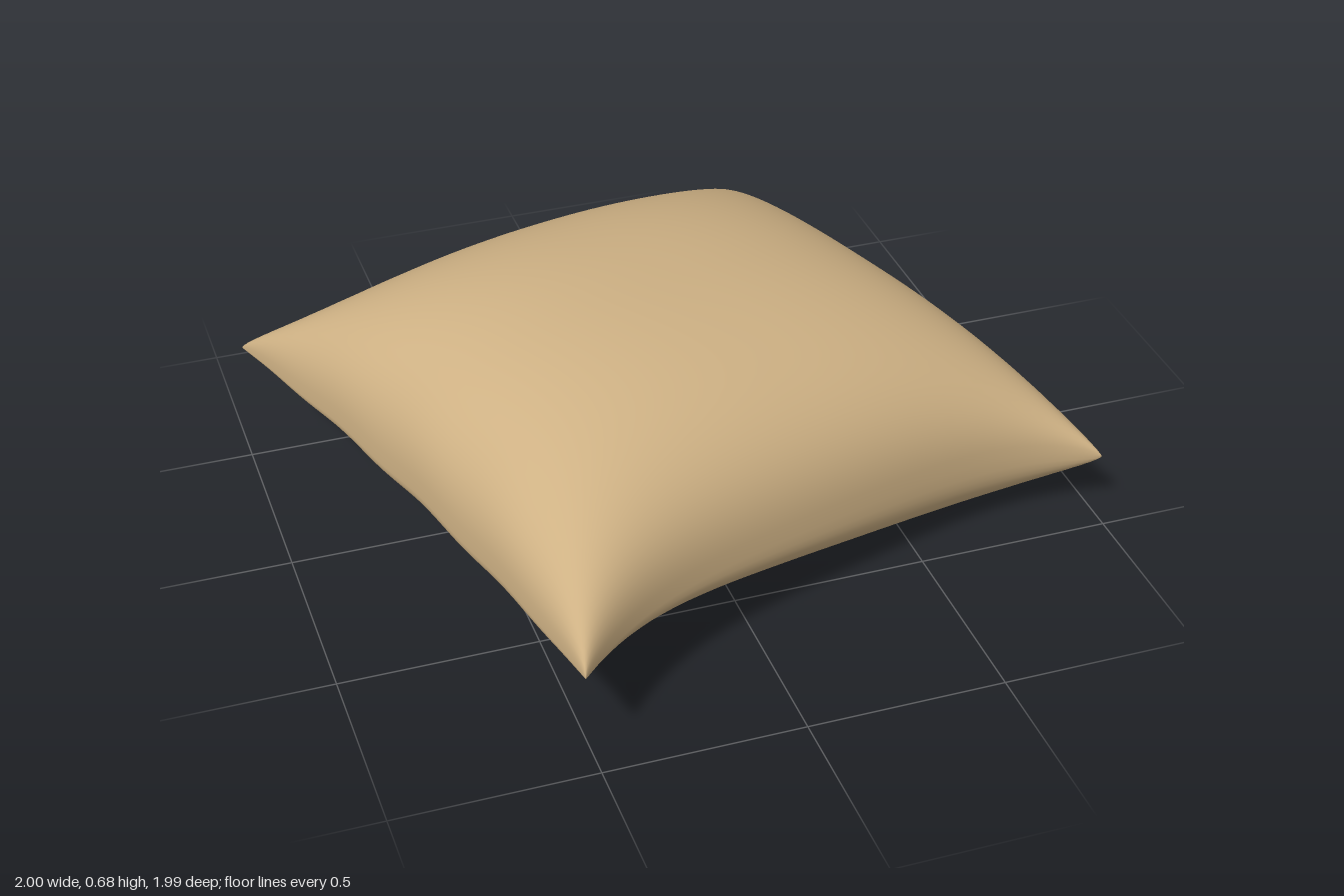
import * as THREE from 'three';
import { mergeVertices } from 'three/addons/utils/BufferGeometryUtils.js';

// seam corners: back right, back left, front left, front right
const CORNERS = [[-1, 0.35, -0.49], [0.49, 0.23, -1], [1, 0.19, 0.46], [-0.53, 0.28, 0.99]];

// point on the cushion; u runs right to left, v back to front, both -1..1
function cushionPoint(u, v, top) {
  const w = [(1 - u) * (1 - v), (1 + u) * (1 - v), (1 + u) * (1 + v), (1 - u) * (1 + v)].map(k => k / 4);
  let [x, seam, z] = [0, 1, 2].map(k => CORNERS.reduce((s, c, i) => s + c[k] * w[i], 0));

  // edges pulled inwards between the corners
  const du = 1 - u ** 4, dv = 1 - v * v;
  z += du * (0.15 * (1 - v) / 2 - 0.15 * (1 + v) / 2);
  x += dv * (0.03 * (1 - u) / 2 - 0.045 * (1 + u) / 2);
  seam += 0.02 * (2 - u * u - v * v);

  // domed top, flatter base, both closing on the seam; two corners are pinched
  const p = top ? 2.4 : 4;
  const swell = t => Math.max(0, 1 - Math.abs(t) ** p) ** 0.39;
  const pinch = 1 - 0.3 * (w[0] ** 4 + w[2] ** 6);
  const f = swell(u) * swell(v) * pinch;
  const target = top ? 0.668 - 0.1 * x : 0.093 - 0.2 * x;
  let y = seam + (target - seam) * f;

  // soft puckers along the right-hand seam
  y += 0.006 * Math.max(0, -u) ** 12 * dv * Math.sin(13 * v + 1);
  return [x, Math.max(0, y), z];
}

function cushionGeometry(n = 56) {
  const pos = [], index = [];
  const step = i => Math.sin((i / n - 0.5) * Math.PI); // finer rows near the seam
  for (const top of [true, false]) {
    const base = pos.length / 3;
    for (let j = 0; j <= n; j++)
      for (let i = 0; i <= n; i++) pos.push(...cushionPoint(step(i), step(j), top));
    for (let j = 0; j < n; j++)
      for (let i = 0; i < n; i++) {
        const a = base + j * (n + 1) + i, b = a + n + 1;
        if (top) index.push(a, b, a + 1, b, b + 1, a + 1);
        else index.push(a, a + 1, b, b, a + 1, b + 1);
      }
  }
  const g = new THREE.BufferGeometry();
  g.setAttribute('position', new THREE.Float32BufferAttribute(pos, 3));
  g.setIndex(index);
  const merged = mergeVertices(g, 1e-5); // join both halves at the seam
  merged.computeVertexNormals();
  return merged;
}

export function createModel() {
  const fabric = new THREE.MeshStandardMaterial({ color: 0xceb184 });
  fabric.name = 'tan fabric';
  const cushion = new THREE.Mesh(cushionGeometry(), fabric);
  cushion.name = 'cushion';
  const model = new THREE.Group();
  model.name = 'pillow';
  model.add(cushion);
  return model;
}
